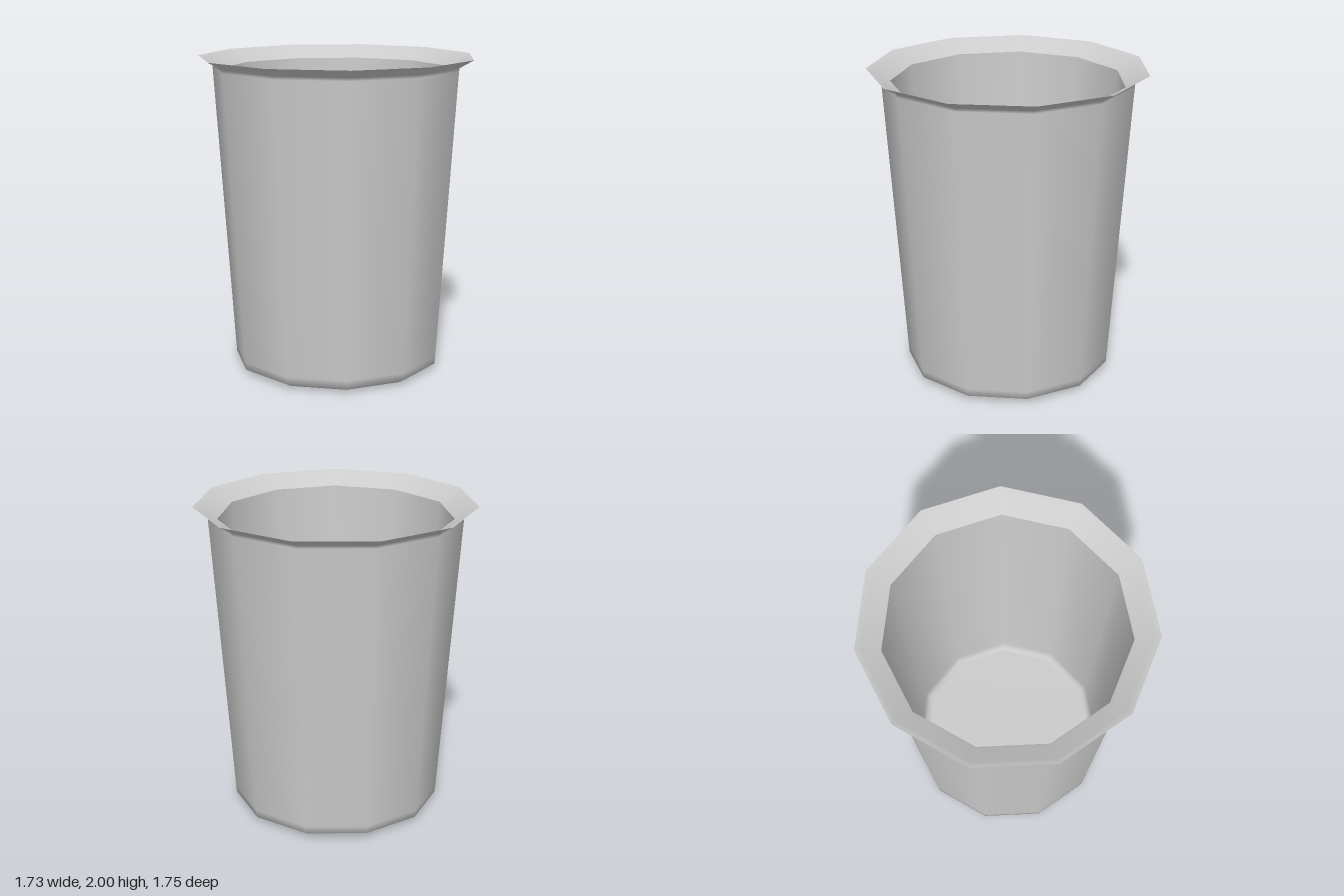
import * as THREE from 'three';

const SIDES = 11;

// One smooth surface of revolution from [radius, height] pairs, a corner facing +x
function turned(name, profile, material) {
  const points = profile.map(([r, y]) => new THREE.Vector2(r, y));
  const mesh = new THREE.Mesh(new THREE.LatheGeometry(points, SIDES, Math.PI / 2), material);
  mesh.name = name;
  return mesh;
}

export function createModel() {
  const material = new THREE.MeshStandardMaterial({ color: 0xcccccc, side: THREE.DoubleSide });
  const cup = new THREE.Group();
  cup.name = 'cup';

  // Underside, chamfered foot, tapering wall and flare below the rim
  cup.add(turned('outerWall', [
    [0, 0], [0.6, 0], [0.625, 0.005], [0.67, 0.03], [0.674, 0.08],
    [0.792, 1.93], [0.795, 1.95], [0.883, 2],
  ], material));

  // Narrow lip and the funnel leading into the opening
  cup.add(turned('rim', [
    [0.883, 2], [0.862, 1.992], [0.85, 1.986], [0.75, 1.93], [0.735, 1.92],
  ], material));

  // Inside wall, rounded lower corner and floor
  cup.add(turned('innerWall', [
    [0.735, 1.92], [0.632, 0.12], [0.61, 0.07], [0.58, 0.06], [0, 0.06],
  ], material));

  // An odd number of sides is wider towards +x, so shift to centre the bounds
  for (const part of cup.children) part.position.x = -0.018;
  return cup;
}
